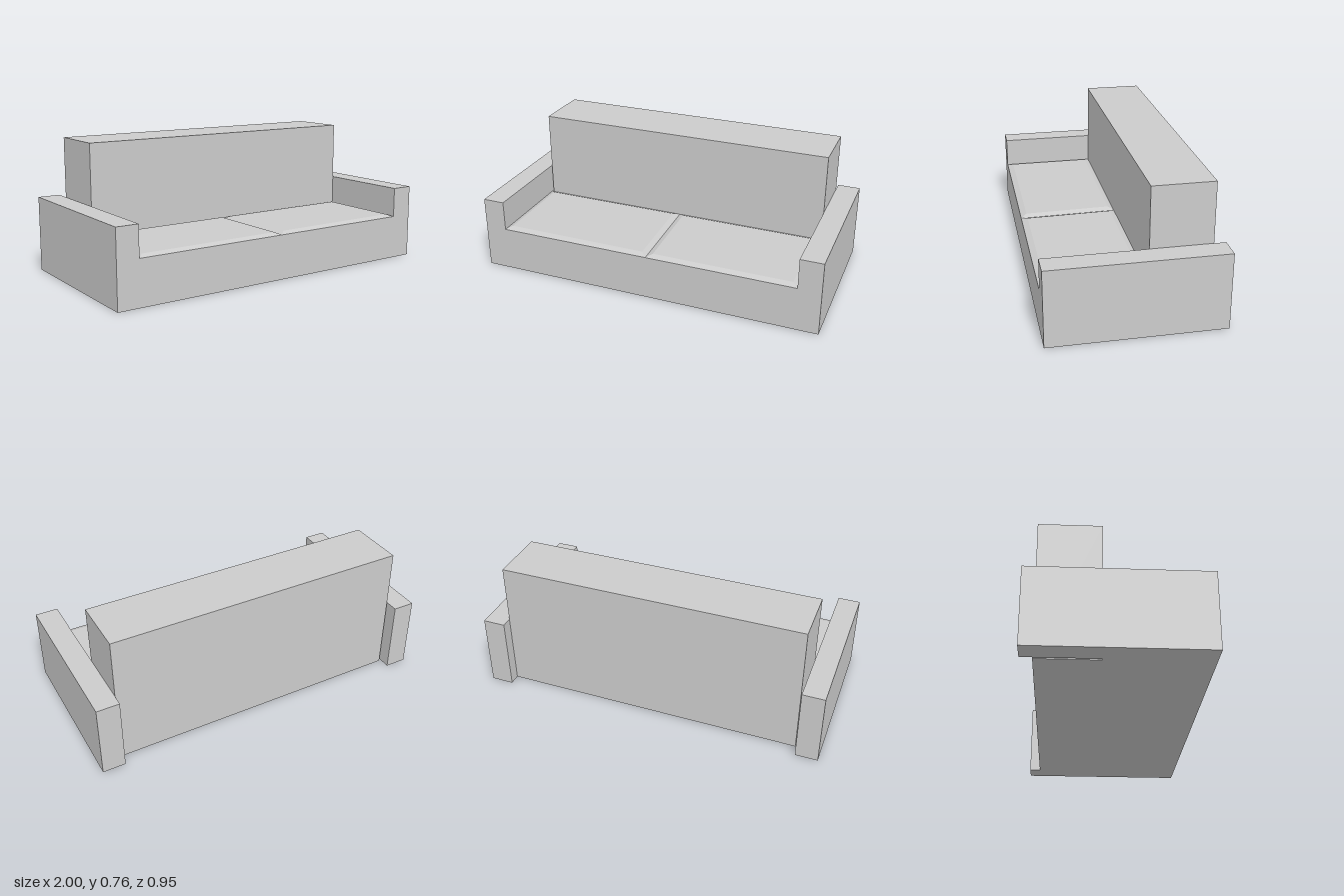
import * as THREE from 'three';

const material = new THREE.MeshStandardMaterial({ color: 0xcccccc, flatShading: true });

function createMesh(name, geometry) {
  const mesh = new THREE.Mesh(geometry, material);
  mesh.name = name;
  return mesh;
}

// Box given by its minimum and maximum corners
function block(name, [x0, y0, z0], [x1, y1, z1]) {
  const geometry = new THREE.BoxGeometry(x1 - x0, y1 - y0, z1 - z0);
  geometry.translate((x0 + x1) / 2, (y0 + y1) / 2, (z0 + z1) / 2);
  return createMesh(name, geometry);
}

// Thin pad with sloping edges; its side edges may run at a slight angle
function cushion(name, leftEdge, rightEdge) {
  const yBottom = 0.254, yTop = 0.267, zBack = -0.08, zFront = 0.475, inset = 0.032;
  const geometry = new THREE.BoxGeometry(1, 1, 1);
  const p = geometry.attributes.position;
  for (let i = 0; i < p.count; i++) {
    const sx = Math.sign(p.getX(i)), sz = Math.sign(p.getZ(i));
    const top = p.getY(i) > 0;
    const edge = sx < 0 ? leftEdge : rightEdge;
    const shrink = top ? inset : 0;
    p.setXYZ(
      i,
      edge[sz < 0 ? 0 : 1] - sx * shrink,
      top ? yTop : yBottom,
      (sz < 0 ? zBack : zFront) - sz * shrink
    );
  }
  geometry.computeVertexNormals();
  return createMesh(name, geometry);
}

export function createModel() {
  const sofa = new THREE.Group();
  sofa.name = 'sofa';

  // Armrests reach the floor and stand out behind the backrest
  sofa.add(block('rightArmrest', [-1, 0, -0.477], [-0.874, 0.427, 0.477]));
  sofa.add(block('leftArmrest', [0.871, 0, -0.477], [1, 0.427, 0.477]));

  // Seat base between the armrests, in front of the backrest
  sofa.add(block('seatBase', [-0.874, 0, -0.078], [0.871, 0.254, 0.477]));

  // Thick backrest, with a narrow gap beside the right armrest
  sofa.add(block('backrest', [-0.861, 0, -0.413], [0.871, 0.765, -0.078]));

  // Two seat cushions meeting at a slightly slanted seam: [back x, front x]
  const seam = [0.003, 0.015];
  sofa.add(cushion('rightSeatCushion', [-0.874, -0.874], seam));
  sofa.add(cushion('leftSeatCushion', seam, [0.871, 0.871]));

  return sofa;
}
